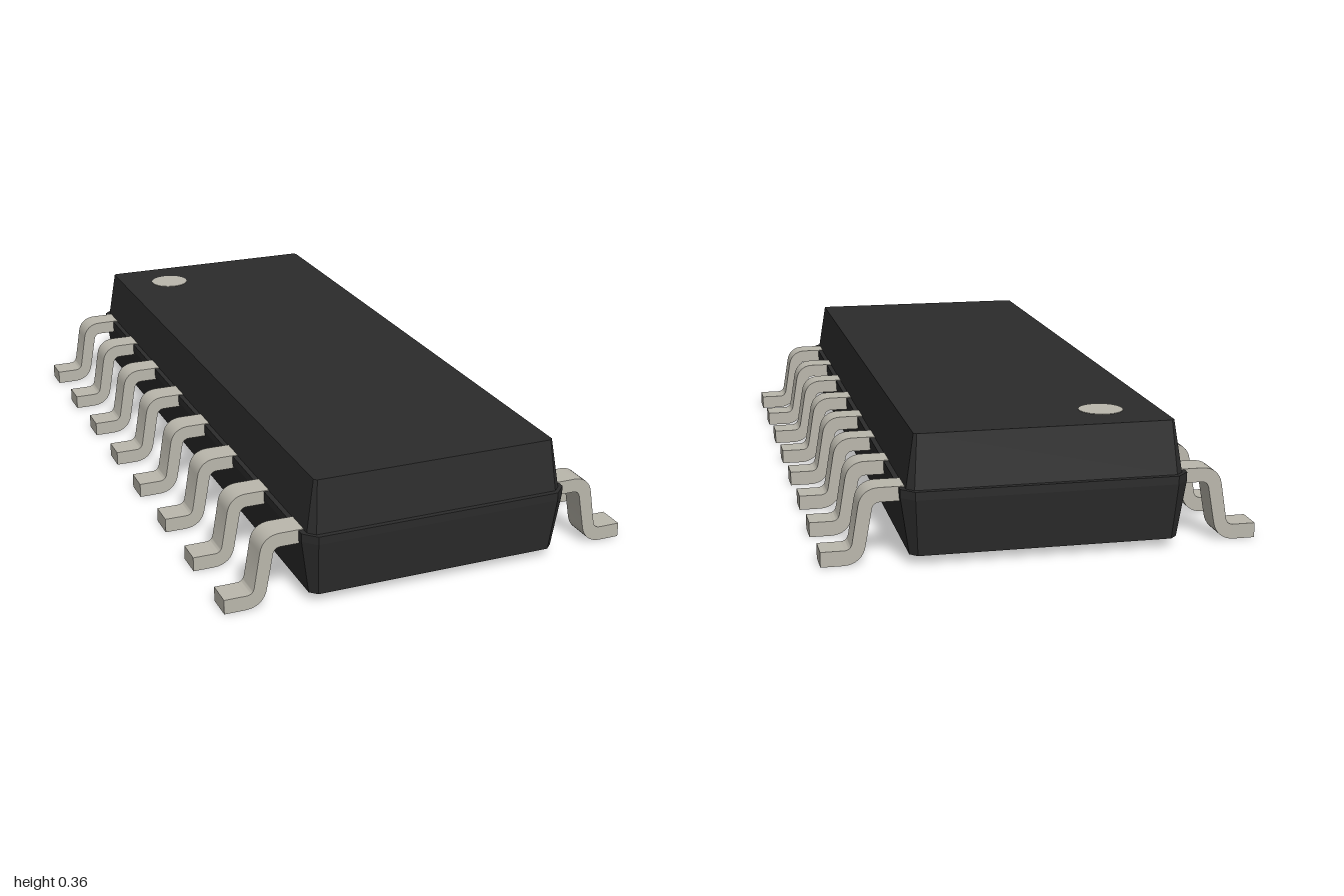
import * as THREE from 'three';
import { toCreasedNormals } from 'three/addons/utils/BufferGeometryUtils.js';

// Chamfered rectangle, listed from +x towards +z
function ring(y, hx, hz, c) {
  return [
    [hx, hz - c], [hx - c, hz], [c - hx, hz], [-hx, hz - c],
    [-hx, c - hz], [c - hx, -hz], [hx - c, -hz], [hx, c - hz],
  ].map(([x, z]) => [x, y, z]);
}

// Closed flat-faced solid through rings ordered from bottom to top
function loft(rings) {
  const pos = [];
  const tri = (...corners) => corners.forEach((p) => pos.push(...p));
  const n = rings[0].length;
  const low = rings[0], high = rings[rings.length - 1];
  for (let i = 0; i < n; i++) {
    const j = (i + 1) % n;
    for (let r = 0; r < rings.length - 1; r++) {
      const a = rings[r], b = rings[r + 1];
      tri(a[i], b[i], b[j]);
      tri(a[i], b[j], a[j]);
    }
    tri([0, low[0][1], 0], low[i], low[j]);
    tri([0, high[0][1], 0], high[j], high[i]);
  }
  const g = new THREE.BufferGeometry();
  g.setAttribute('position', new THREE.Float32BufferAttribute(pos, 3));
  g.computeVertexNormals();
  return g;
}

// Gull-wing lead profile, extruded along z
function leadGeometry(width) {
  const s = new THREE.Shape();
  s.moveTo(0.37, 0.21);
  s.lineTo(0.447, 0.21);
  s.bezierCurveTo(0.476, 0.21, 0.499, 0.194, 0.504, 0.162);
  s.lineTo(0.521, 0.06);
  s.quadraticCurveTo(0.525, 0.042, 0.543, 0.042);
  s.lineTo(0.606, 0.042);
  s.lineTo(0.606, 0);
  s.lineTo(0.546, 0);
  s.bezierCurveTo(0.513, 0, 0.49, 0.02, 0.485, 0.052);
  s.lineTo(0.467, 0.152);
  s.quadraticCurveTo(0.463, 0.17, 0.445, 0.17);
  s.lineTo(0.37, 0.17);
  s.closePath();
  const g = new THREE.ExtrudeGeometry(s, { depth: width, bevelEnabled: false, curveSegments: 8 });
  g.translate(0, 0, -width / 2);
  return toCreasedNormals(g, 0.6);
}

export function createModel() {
  const plastic = new THREE.MeshStandardMaterial({ color: 0x2b2b2b });
  plastic.name = 'black plastic';
  const metal = new THREE.MeshStandardMaterial({ color: 0xbab7ac });
  metal.name = 'tinned metal';

  const model = new THREE.Group();
  model.name = 'chip';

  // Moulded body: lower half, small parting ledge, narrower upper half
  const body = new THREE.Mesh(loft([
    ring(0.025, 0.371, 0.977, 0.02),
    ring(0.185, 0.395, 1.0, 0.035),
    ring(0.208, 0.395, 1.0, 0.035),
    ring(0.208, 0.38, 0.985, 0.02),
    ring(0.355, 0.357, 0.962, 0.008),
  ]), plastic);
  body.name = 'body';
  model.add(body);

  // Pin one marker
  const dot = new THREE.Mesh(new THREE.CylinderGeometry(0.062, 0.062, 0.004, 32), metal);
  dot.name = 'pinOneMarker';
  dot.position.set(-0.195, 0.3545, -0.805);
  model.add(dot);

  // Eight leads on each side
  const lead = leadGeometry(0.08);
  for (const side of ['left', 'right']) {
    const row = new THREE.Group();
    row.name = side + 'Leads';
    for (let i = 0; i < 8; i++) {
      const m = new THREE.Mesh(lead, metal);
      m.name = side + 'Lead' + (i + 1);
      m.position.z = (i - 3.5) * 0.258;
      row.add(m);
    }
    if (side === 'right') row.rotation.y = Math.PI;
    model.add(row);
  }
  return model;
}
